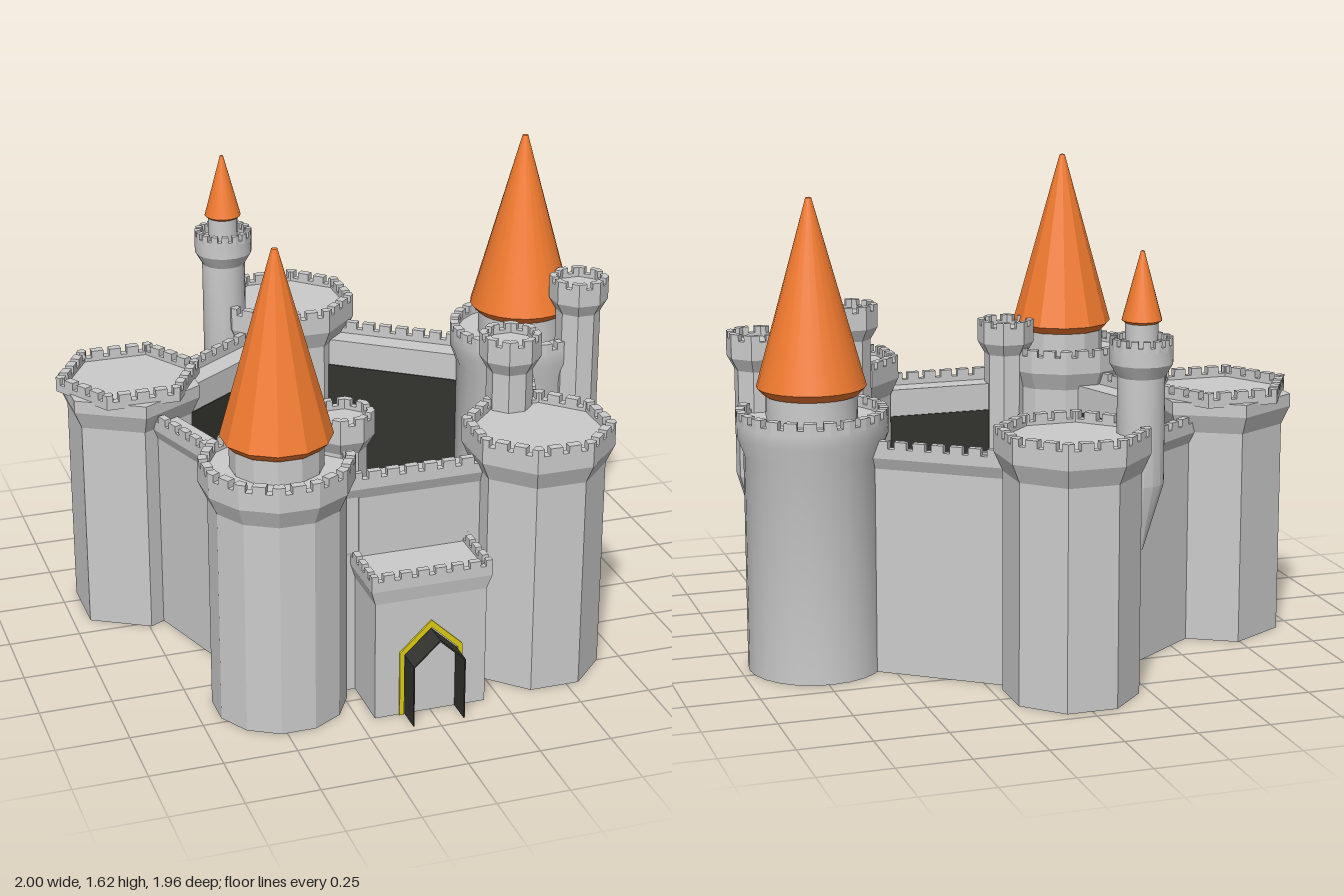
import * as THREE from 'three';
import { mergeGeometries, toCreasedNormals } from 'three/addons/utils/BufferGeometryUtils.js';

const stone = new THREE.MeshStandardMaterial({ color: 0xcccccc });
const flatStone = new THREE.MeshStandardMaterial({ color: 0xcccccc, flatShading: true });
const roofMat = new THREE.MeshStandardMaterial({ color: 0xf47c30 });
const dark = new THREE.MeshStandardMaterial({ color: 0x33332f, side: THREE.DoubleSide });
const yellow = new THREE.MeshStandardMaterial({ color: 0xddcc10 });

function mesh(name, geometry, material = flatStone) {
  const m = new THREE.Mesh(geometry, material);
  m.name = name;
  return m;
}

// Turned solid with n sides; round ones are smoothed, others keep their edges
function turned(profile, n, phi) {
  const g = new THREE.LatheGeometry(profile.map(([r, y]) => new THREE.Vector2(r, y)), n, phi);
  return toCreasedNormals(g, n >= 16 ? 0.45 : 0.05);
}

function box(x0, x1, y0, y1, z0, z1) {
  return new THREE.BoxGeometry(x1 - x0, y1 - y0, z1 - z0)
    .translate((x0 + x1) / 2, (y0 + y1) / 2, (z0 + z1) / 2);
}

// Straight battlement along x with narrow gaps, outer face at z = 0
function battlement(len, gaps, y0, yLow, yTop, t) {
  const parts = [box(-len / 2, len / 2, y0, yLow, -t, 0)];
  const pitch = len / gaps, half = Math.min(0.011, pitch * 0.18);
  for (let i = 0; i <= gaps; i++) {
    const a = i === 0 ? -len / 2 : -len / 2 + (i - 0.5) * pitch + half;
    const b = i === gaps ? len / 2 : -len / 2 + (i + 0.5) * pitch - half;
    parts.push(box(a, b, yLow, yTop, -t, 0));
  }
  return mergeGeometries(parts);
}

// Battlement around a polygon with n sides
function battlementRing(n, R, phi, gaps, y0, yLow, yTop, t) {
  const side = 2 * R * Math.sin(Math.PI / n), apothem = R * Math.cos(Math.PI / n);
  const parts = [];
  for (let i = 0; i < n; i++) {
    parts.push(battlement(side, gaps, y0, yLow, yTop, t)
      .translate(0, 0, apothem).rotateY(phi + (i + 0.5) * 2 * Math.PI / n));
  }
  return mergeGeometries(parts);
}

// Large tower; twist turns the parapet against the body
function tower({ x, z, n, phi, gaps, twist = 0, roof }) {
  const g = new THREE.Group();
  g.name = 'tower';
  g.position.set(x, 0, z);
  const round = n >= 16, Rb = round ? 0.233 : 0.228, Rp = 0.258;
  g.add(mesh('towerBody', turned(
    [[0, 0], [Rb, 0], [Rb, 0.755], [Rp, 0.82], [Rp, 0.865], [0, 0.865]], n, phi), stone));
  g.add(mesh('towerFloor', turned(
    [[0, 0.855], [Rp, 0.855], [Rp, 0.87], [0, 0.87]], n, phi + twist), stone));
  g.add(mesh('towerBattlement', battlementRing(n, Rp, phi + twist, gaps, 0.86, 0.882, 0.907, 0.03)));
  if (roof) {
    g.add(mesh('roofDrum', turned([[0.155, 0.86], [0.155, 0.957], [0, 0.957]], n, phi), stone));
    g.add(mesh('roofCone', turned(
      [[0, 0.955], [0.16, 0.955], [0.186, 0.982], [0.01, 1.617], [0, 1.62]], n, phi), roofMat));
  }
  return g;
}

// Slim turret hanging from a tower
function turret({ x, z, top, bottom, tip, n = 8, roof }) {
  const g = new THREE.Group();
  g.name = 'turret';
  g.position.set(x, 0, z);
  const phi = Math.PI / n, r = 0.08, R = 0.106;
  g.add(mesh('turretBody', turned(
    [[0, tip], [0.012, tip], [r, bottom], [r, top - 0.13], [R, top - 0.085],
      [R, top - 0.035], [0, top - 0.035]], n, phi), stone));
  g.add(mesh('turretBattlement', battlementRing(n, R, phi, 1, top - 0.04, top - 0.022, top, 0.022)));
  if (roof) {
    g.add(mesh('turretDrum', turned([[0.055, top - 0.04], [0.055, top + 0.05]], n, phi), stone));
    g.add(mesh('turretCone', turned(
      [[0, top + 0.047], [0.055, top + 0.047], [0.067, top + 0.056], [0.006, top + 0.283], [0, top + 0.285]],
      n, phi), roofMat));
  }
  return g;
}

// Curtain wall between two tower centres, local +z pointing outwards
function curtainWall(a, b) {
  const g = new THREE.Group();
  g.name = 'curtainWall';
  const dx = b.x - a.x, dz = b.z - a.z, len = Math.hypot(dx, dz);
  const mx = (a.x + b.x) / 2, mz = (a.z + b.z) / 2;
  const s = Math.sign(dz * mx - dx * mz);
  g.position.set(mx, 0, mz);
  g.rotation.y = Math.atan2(s * dz, -s * dx);
  const section = new THREE.Shape([[-0.078, 0], [0.012, 0], [0.012, 0.715], [0.03, 0.755],
    [0.03, 0.77], [-0.078, 0.77]].map(([u, v]) => new THREE.Vector2(u, v)));
  g.add(mesh('wallBody', new THREE.ExtrudeGeometry(section, { depth: len, bevelEnabled: false })
    .rotateY(-Math.PI / 2).translate(len / 2, 0, 0)));
  const top = mesh('wallBattlement', battlement(len, 14, 0.765, 0.79, 0.815, 0.025));
  top.position.z = 0.03;
  g.add(top);
  g.add(mesh('innerWallFace', box(-len / 2, len / 2, 0, 0.67, -0.082, -0.077), dark));
  return g;
}

// Pointed arch band standing on the ground, extruded along z
function archBand(w, shoulder, peak, t, depth) {
  const pts = [[-w, 0], [-w, shoulder], [0, peak], [w, shoulder], [w, 0],
    [w - t, 0], [w - t, shoulder - t * 0.6], [0, peak - t * 1.6], [t - w, shoulder - t * 0.6], [t - w, 0]];
  const shape = new THREE.Shape(pts.reverse().map(([u, v]) => new THREE.Vector2(u, v)));
  return new THREE.ExtrudeGeometry(shape, { depth, bevelEnabled: false });
}

// Gate porch: square block with corbel and battlements on three sides
function porch(name, z, halfZ, facing) {
  const g = new THREE.Group();
  g.name = name;
  g.position.z = z;
  const q = Math.SQRT2, p = q * 1.08, w = 0.195 * 1.08, d = halfZ * 1.08;
  g.add(mesh('porchBody', turned(
    [[0, 0], [q, 0], [q, 0.425], [p, 0.475], [p, 0.5], [0, 0.5]], 4, Math.PI / 4)
    .scale(0.195, 1, halfZ), stone));
  const front = mesh('porchFrontBattlement', battlement(2 * w, 7, 0.49, 0.51, 0.532, 0.022));
  front.position.z = facing * d;
  front.rotation.y = facing > 0 ? 0 : Math.PI;
  g.add(front);
  for (const s of [-1, 1]) {
    const side = mesh('porchSideBattlement', battlement(2 * d, Math.round(2 * d / 0.06), 0.49, 0.51, 0.532, 0.022));
    side.position.x = s * w;
    side.rotation.y = s * Math.PI / 2;
    g.add(side);
  }
  return g;
}

export function createModel() {
  const castle = new THREE.Group();
  castle.name = 'castle';

  // Five towers in order around the courtyard
  const towers = [
    { x: 0, z: -0.745, n: 8, phi: Math.PI / 8, gaps: 3 },
    { x: 0.737, z: -0.2, n: 24, phi: 0, gaps: 1, roof: true },
    { x: 0.457, z: 0.662, n: 8, phi: Math.PI / 8, gaps: 3 },
    { x: -0.46, z: 0.665, n: 12, phi: Math.PI / 12, gaps: 2, roof: true },
    { x: -0.743, z: -0.2, n: 6, phi: 0, gaps: 4, twist: Math.PI / 6 },
  ];
  towers.forEach((t, i) => {
    castle.add(tower(t));
    castle.add(curtainWall(t, towers[(i + 1) % towers.length]));
  });

  // Turrets
  castle.add(turret({ x: 0.875, z: 0.008, top: 1.14, bottom: 0.64, tip: 0.415 }));
  castle.add(turret({ x: 0.44, z: 0.435, top: 1.137, bottom: 0.64, tip: 0.415 }));
  castle.add(turret({ x: -0.215, z: 0.605, top: 1.012, bottom: 0.52, tip: 0.3 }));
  castle.add(turret({ x: -0.24, z: -0.74, top: 1.19, bottom: 0.7, tip: 0.47, n: 16, roof: true }));

  // Gatehouse
  castle.add(porch('outerPorch', 0.775, 0.11, 1));
  castle.add(porch('innerPorch', 0.55, 0.07, -1));
  const trim = mesh('gateTrim', archBand(0.11, 0.235, 0.34, 0.016, 0.012), yellow);
  trim.position.z = 0.88;
  castle.add(trim);
  for (const z of [0.87, 0.4]) {
    const sleeve = mesh('gateSleeve', archBand(0.091, 0.222, 0.308, 0.004, 0.105), dark);
    sleeve.position.z = z;
    castle.add(sleeve);
  }
  return castle;
}
